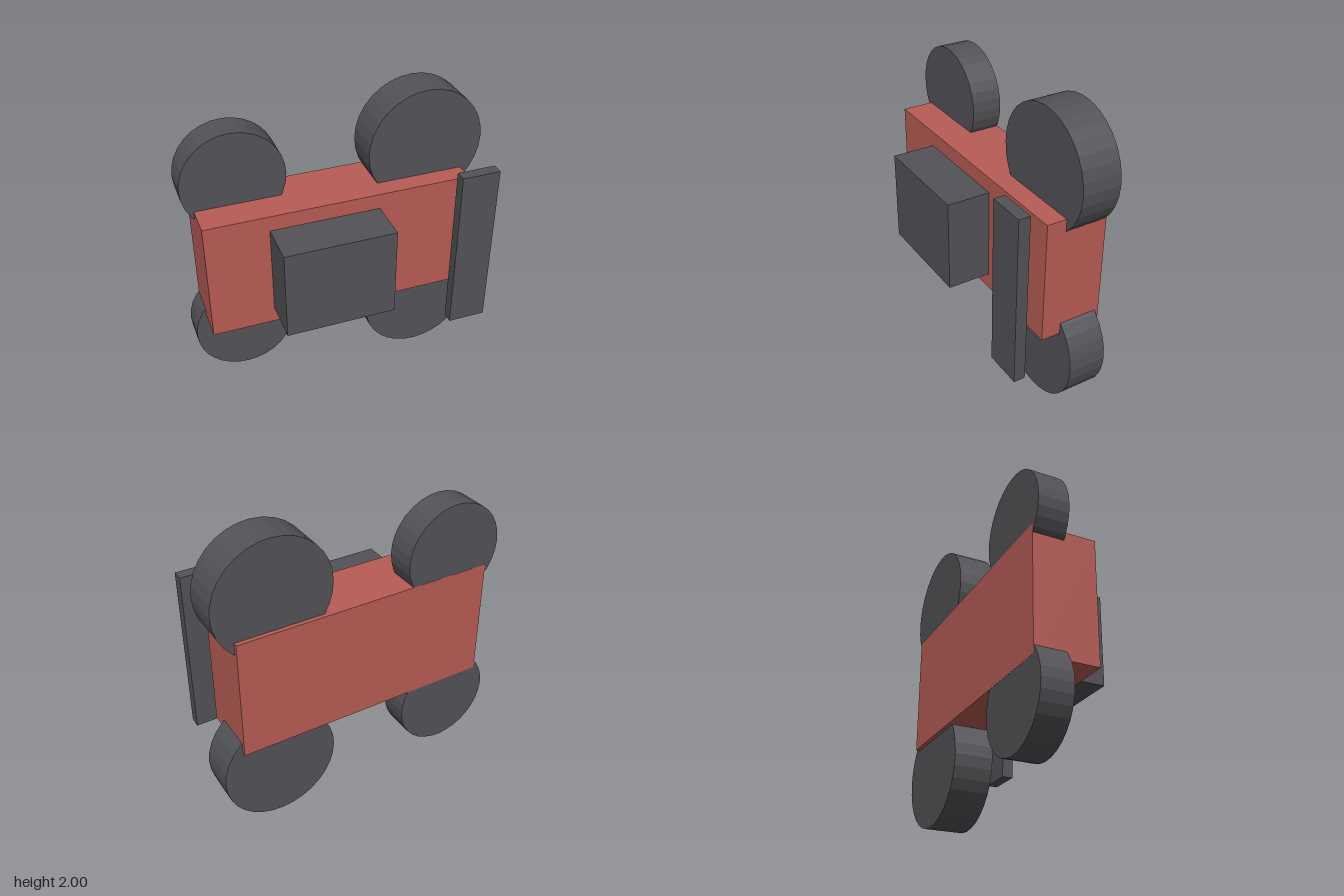
import * as THREE from 'three';

export function createModel() {
  const model = new THREE.Group();
  model.name = 'buggy';

  const red = new THREE.MeshStandardMaterial({ color: 0xb85c55 });
  red.name = 'body red';
  const grey = new THREE.MeshStandardMaterial({ color: 0x535257 });
  grey.name = 'dark grey';
  grey.flatShading = true;

  const add = (name, geometry, material, x, y, z) => {
    const mesh = new THREE.Mesh(geometry, material);
    mesh.name = name;
    mesh.position.set(x, y, z);
    model.add(mesh);
    return mesh;
  };

  // Box given by its minimum and maximum corners
  const block = (name, material, [x0, y0, z0], [x1, y1, z1]) =>
    add(name, new THREE.BoxGeometry(x1 - x0, y1 - y0, z1 - z0), material,
      (x0 + x1) / 2, (y0 + y1) / 2, (z0 + z1) / 2);

  // Chassis, cabin and the crosswise wing floating at the tail
  block('body', red, [-0.9, 0.595, -0.35], [0.843, 1.41, 0.063]);
  block('cabin', grey, [-0.49, 0.7, 0.063], [0.23, 1.308, 0.348]);
  block('wing', grey, [0.667, 0.438, 0.23], [0.92, 1.568, 0.305]);

  // Wheels: a smaller and a larger pair, mirrored about y = 1, axles along z
  const axles = [
    { name: 'smallWheel', x: -0.643, dy: 0.563, radius: 0.333, z0: -0.349, z1: -0.147 },
    { name: 'largeWheel', x: 0.587, dy: 0.615, radius: 0.385, z0: -0.322, z1: -0.067 },
  ];
  for (const { name, x, dy, radius, z0, z1 } of axles) {
    const geometry = new THREE.CylinderGeometry(radius, radius, z1 - z0, 32);
    geometry.rotateX(Math.PI / 2);
    for (const [side, sign] of [['Upper', 1], ['Lower', -1]]) {
      add(name + side, geometry, grey, x, 1 + sign * dy, (z0 + z1) / 2);
    }
  }

  return model;
}
